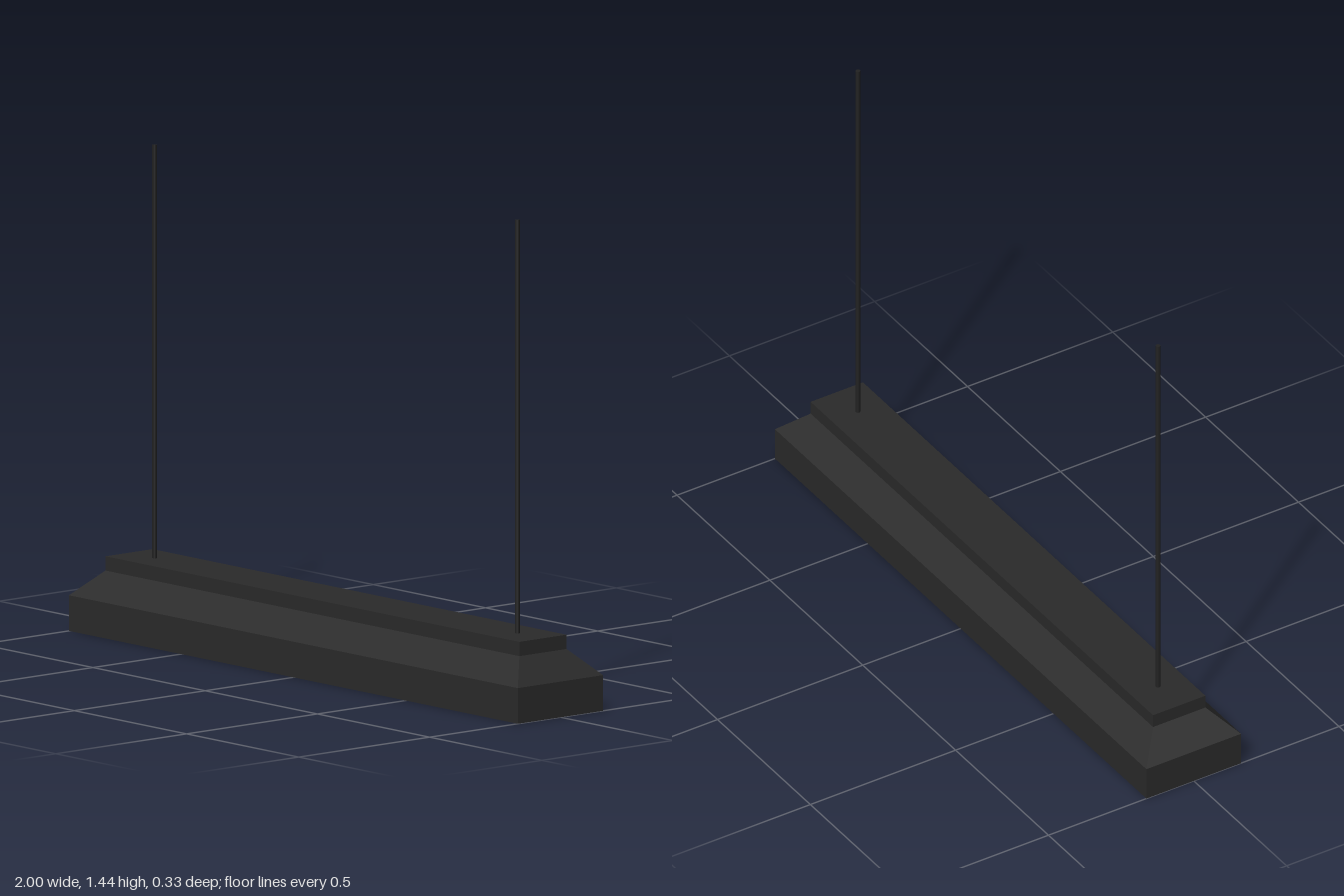
import * as THREE from 'three';

const mat = (color) => new THREE.MeshStandardMaterial({ color, flatShading: true });

// Skin a stack of rectangular rings [halfX, y, halfZ], walked from inside the opening up the outside
function rectLoft(rings) {
  const pos = [];
  const corner = ([x, y, z], k) => {
    const [sx, sz] = [[1, 1], [1, -1], [-1, -1], [-1, 1]][k % 4];
    return [x * sx, y, z * sz];
  };
  for (let i = 0; i < rings.length - 1; i++) {
    for (let k = 0; k < 4; k++) {
      const a = corner(rings[i], k), b = corner(rings[i], k + 1);
      const c = corner(rings[i + 1], k + 1), d = corner(rings[i + 1], k);
      pos.push(...a, ...b, ...c, ...a, ...c, ...d);
    }
  }
  const g = new THREE.BufferGeometry();
  g.setAttribute('position', new THREE.Float32BufferAttribute(pos, 3));
  g.computeVertexNormals();
  return g;
}

export function createModel() {
  const group = new THREE.Group();
  const add = (name, geometry, material, x, y, z) => {
    const mesh = new THREE.Mesh(geometry, material);
    mesh.name = name;
    mesh.position.set(x, y, z);
    group.add(mesh);
  };
  const metal = mat(0x2a2a2a);
  const rodMetal = mat(0x222222);

  const W = 1, D = 0.163, rim = 0.015, recess = 0.06;

  // Housing: inner wall, bottom rim, straight skirt and sloped shoulder
  add('housing', rectLoft([
    [W - rim, recess, D - rim],
    [W - rim, 0, D - rim],
    [W, 0, D],
    [W, 0.105, D],
    [0.922, 0.18, 0.09],
  ]), metal, 0, 0, 0);

  // Raised cap along the top
  add('topCap', new THREE.BoxGeometry(1.844, 0.044, 0.18), metal, 0, 0.2, 0);

  // Recessed panel inside the opening
  add('recessedPanel', new THREE.BoxGeometry(2 * (W - rim), 0.01, 2 * (D - rim)), metal, 0, recess + 0.005, 0);

  // Two hanging rods
  for (const side of [1, -1]) {
    add(side > 0 ? 'leftRod' : 'rightRod',
      new THREE.CylinderGeometry(0.007, 0.007, 1.22, 12), rodMetal, side * 0.808, 0.83, 0);
  }
  return group;
}
